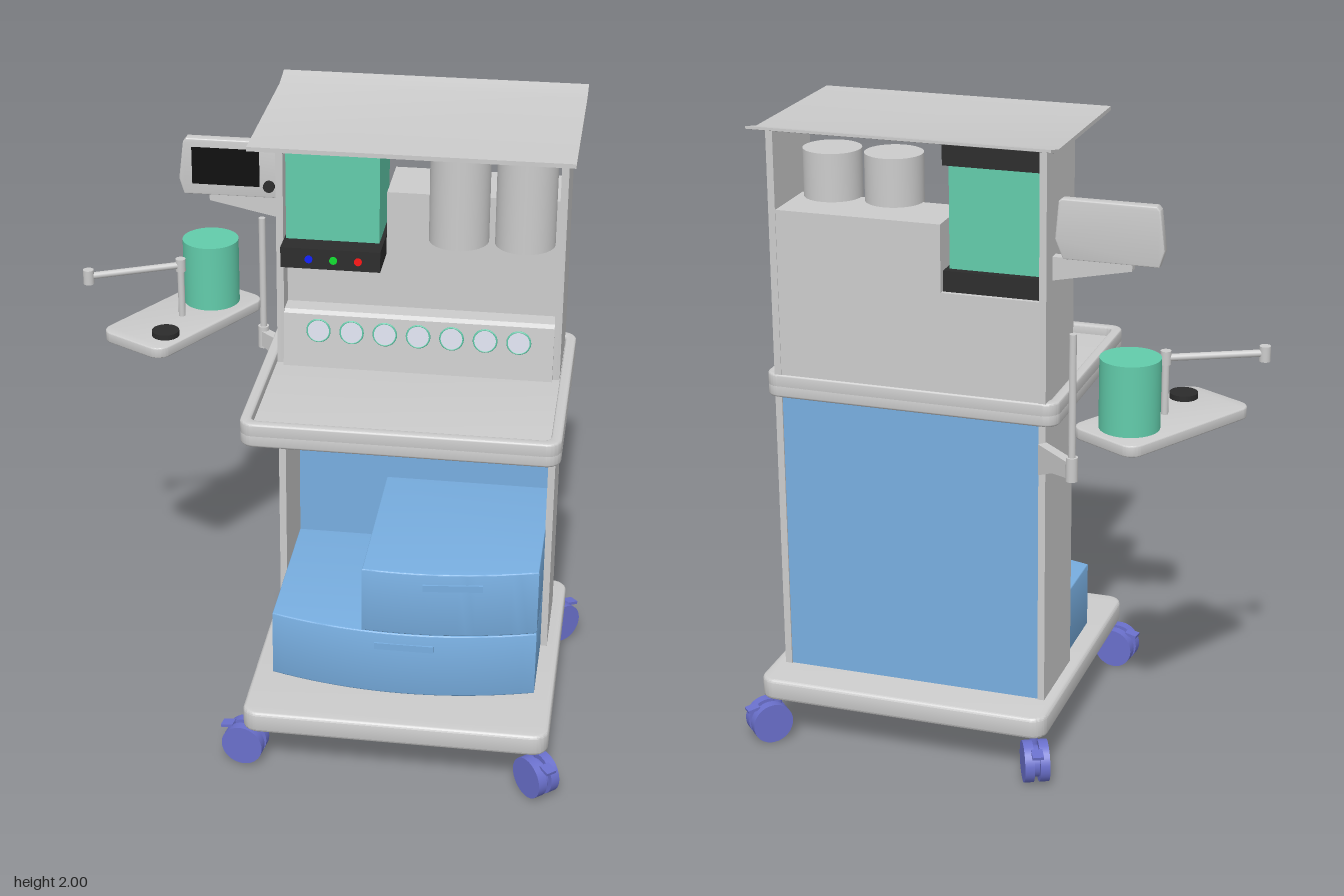
import * as THREE from 'three';
import { toCreasedNormals } from 'three/addons/utils/BufferGeometryUtils.js';

const mat = (color) => new THREE.MeshStandardMaterial({ color, side: THREE.DoubleSide });

export function createModel() {
  const root = new THREE.Group();
  root.name = 'medicalTrolley';
  const body = new THREE.Group(); // the cabinet stands slightly turned
  body.name = 'cabinet';
  body.rotation.y = 0.14;
  root.add(body);

  const grey = mat(0xcccccc), blue = mat(0x78aee0), green = mat(0x62ccab);
  const navy = mat(0x6a70cc), black = mat(0x2c2c2c), dialWhite = mat(0xdde0ee);
  const screenBlack = mat(0x0c0c0c);

  const add = (parent, name, geo, m, x = 0, y = 0, z = 0) => {
    const mesh = new THREE.Mesh(geo, m);
    mesh.name = name;
    mesh.position.set(x, y, z);
    parent.add(mesh);
    return mesh;
  };
  // box from min and max corners
  const box = (parent, name, m, x0, x1, y0, y1, z0, z1) =>
    add(parent, name, new THREE.BoxGeometry(x1 - x0, y1 - y0, z1 - z0), m, (x0 + x1) / 2, (y0 + y1) / 2, (z0 + z1) / 2);
  const cyl = (parent, name, m, r, y0, y1, x, z, n = 40) =>
    add(parent, name, new THREE.CylinderGeometry(r, r, y1 - y0, n), m, x, (y0 + y1) / 2, z);
  const poly = (pts) => new THREE.Shape(pts.map((p) => new THREE.Vector2(...p)));
  const extrude = (shape, depth, bevel = 0) => {
    const g = new THREE.ExtrudeGeometry(shape, {
      depth: depth - 2 * bevel, bevelEnabled: bevel > 0, bevelSize: bevel,
      bevelOffset: -bevel, bevelThickness: bevel, bevelSegments: 3, curveSegments: 10,
    });
    g.translate(0, 0, bevel);
    return toCreasedNormals(g, 0.6);
  };
  // horizontal slab whose outline is given in x and z
  const slab = (parent, name, m, shape, y0, y1, bevel = 0) =>
    add(parent, name, extrude(shape, y1 - y0, bevel).rotateX(Math.PI / 2), m, 0, y1, 0);
  const roundRect = (x0, x1, z0, z1, r, Type = THREE.Shape) => {
    const s = new Type();
    s.absarc(x1 - r, z1 - r, r, 0, Math.PI / 2);
    s.absarc(x0 + r, z1 - r, r, Math.PI / 2, Math.PI);
    s.absarc(x0 + r, z0 + r, r, Math.PI, 1.5 * Math.PI);
    s.absarc(x1 - r, z0 + r, r, 1.5 * Math.PI, 2 * Math.PI);
    s.closePath();
    return s;
  };
  // rod between two points
  const rod = (parent, name, m, a, b, r) => {
    const d = b.clone().sub(a);
    const mesh = add(parent, name, new THREE.CylinderGeometry(r, r, d.length(), 16), m);
    mesh.position.copy(a).add(b).multiplyScalar(0.5);
    mesh.quaternion.setFromUnitVectors(new THREE.Vector3(0, 1, 0), d.normalize());
  };

  // base plate, side panels and lower back
  slab(body, 'basePlate', grey, roundRect(-0.226, 0.724, -0.41, 0.53, 0.05), 0.145, 0.215, 0.01);
  box(body, 'rightPanel', grey, -0.188, -0.166, 0.215, 1.975, -0.277, 0.011);
  box(body, 'leftPanel', grey, 0.663, 0.685, 0.215, 1.975, -0.277, 0.011);
  box(body, 'lowerBack', blue, -0.166, 0.663, 0.215, 1.13, -0.272, -0.255);

  // roof with raised rear lip
  const roof = poly([[-0.29, 1.97], [-0.29, 1.983], [0.27, 1.983], [0.35, 2.0], [0.35, 1.992], [0.27, 1.97]]);
  add(body, 'roof', extrude(roof, 0.937).rotateY(Math.PI / 2), grey, -0.221, 0, 0);

  // work surface: floor and raised rim
  slab(body, 'workSurface', grey, roundRect(-0.222, 0.72, -0.28, 0.5, 0.045), 1.13, 1.175, 0.008);
  const rim = roundRect(-0.222, 0.72, -0.28, 0.5, 0.045);
  rim.holes.push(roundRect(-0.19, 0.688, -0.25, 0.468, 0.025, THREE.Path));
  slab(body, 'workSurfaceRim', grey, rim, 1.16, 1.205, 0.006);

  // upper housing, notched for the ventilator unit
  const housing = poly([[-0.166, 1.17], [0.663, 1.17], [0.663, 1.73], [0.14, 1.73], [0.14, 1.52], [-0.166, 1.52]]);
  add(body, 'upperHousing', extrude(housing, 0.215), grey, 0, 0, -0.275);

  // sloping console with a row of dials
  const consoleShape = poly([[-0.03, 1.17], [-0.012, 1.345], [0, 1.355], [0.07, 1.355], [0.07, 1.17]]);
  add(body, 'dialConsole', extrude(consoleShape, 0.829).rotateY(Math.PI / 2), grey, -0.166, 0, 0);
  for (let i = 0; i < 7; i++) {
    const dial = new THREE.Group();
    dial.name = 'dial';
    dial.position.set(-0.058 + i * 0.1025, 1.295, 0.018);
    dial.rotation.x = -0.1;
    body.add(dial);
    add(dial, 'dialFace', new THREE.CylinderGeometry(0.034, 0.034, 0.008, 28).rotateX(Math.PI / 2), dialWhite);
    add(dial, 'dialRim', new THREE.TorusGeometry(0.035, 0.003, 6, 28), green, 0, 0, 0.002);
  }

  // ventilator unit with indicator lights
  box(body, 'ventilatorBase', black, -0.166, 0.137, 1.52, 1.585, -0.26, 0.066);
  box(body, 'ventilatorTop', black, -0.166, 0.137, 1.905, 1.97, -0.26, 0.066);
  box(body, 'ventilatorBody', green, -0.16, 0.125, 1.585, 1.905, -0.235, -0.005);
  [0x1020ff, 0x10e030, 0xff1515].forEach((c, i) =>
    add(body, 'indicatorLight', new THREE.CylinderGeometry(0.012, 0.012, 0.006, 20).rotateX(Math.PI / 2), mat(c), -0.08 + i * 0.075, 1.551, 0.067));

  // vaporiser canisters
  for (const x of [0.36, 0.56]) cyl(body, 'canister', grey, 0.091, 1.59, 1.88, x, -0.06, 48);

  // bow-fronted drawers
  const bow = (x) => 0.355 - 0.065 * ((x - 0.249) / 0.417) ** 2;
  const drawer = (name, x0, x1, y0, y1, handleX) => {
    const pts = [[x1, -0.25], [x0, -0.25]];
    for (let i = 0; i <= 20; i++) {
      const x = x0 + ((x1 - x0) * i) / 20;
      pts.push([x, bow(x)]);
    }
    slab(body, name, blue, poly(pts), y0, y1, 0.004);
    const h = add(body, name + 'Handle', new THREE.BoxGeometry(0.185, 0.022, 0.008), blue, handleX, y1 - 0.047, bow(handleX));
    h.rotation.y = 2 * 0.065 * (handleX - 0.249) / 0.417 ** 2;
  };
  drawer('lowerDrawer', -0.166, 0.664, 0.215, 0.434, 0.258);
  drawer('upperDrawer', 0.125, 0.664, 0.436, 0.655, 0.405);

  // monitor on its bracket
  const monitor = poly([[-0.525, 1.69], [-0.51, 1.81], [-0.5, 1.822], [-0.215, 1.822], [-0.205, 1.815],
    [-0.195, 1.7], [-0.22, 1.64], [-0.51, 1.64]]);
  add(body, 'monitor', extrude(monitor, 0.036, 0.004), grey, 0, 0, -0.218);
  box(body, 'monitorScreen', screenBlack, -0.483, -0.272, 1.676, 1.795, -0.185, -0.179);
  add(body, 'monitorKnob', new THREE.CylinderGeometry(0.018, 0.018, 0.014, 24).rotateX(Math.PI / 2), black, -0.242, 1.68, -0.177);
  const bracket = poly([[-0.43, 1.645], [-0.43, 1.622], [-0.187, 1.572], [-0.187, 1.645]]);
  add(body, 'monitorBracket', extrude(bracket, 0.034), grey, 0, 0, -0.217);

  // side shelf: wall bracket, post and rotated plate
  const arm = poly([[0, 1.035], [0.09, 1.02], [0.17, 0.985], [0.17, 1.085], [0, 1.085]]);
  add(root, 'shelfBracket', extrude(arm, 0.03).translate(0, 0, -0.015), grey, -0.362, 0, -0.36).rotation.y = -0.6;
  cyl(root, 'shelfPost', grey, 0.011, 1.03, 1.48, -0.362, -0.36, 16);
  cyl(root, 'shelfPostFoot', grey, 0.018, 1.025, 1.1, -0.362, -0.36, 20);
  const shelf = slab(root, 'sideShelf', grey, roundRect(-0.127, 0.127, -0.258, 0.258, 0.045), 1.165, 1.2, 0.004);
  shelf.position.x = -0.567;
  shelf.position.z = -0.17;
  shelf.rotation.y = -0.377;
  cyl(root, 'absorberCanister', green, 0.09, 1.2, 1.415, -0.517, -0.3, 48);
  cyl(root, 'shelfDisc', black, 0.043, 1.2, 1.217, -0.567, 0);
  cyl(root, 'armPost', grey, 0.011, 1.2, 1.395, -0.568, -0.155, 16);
  cyl(root, 'armJoint', grey, 0.016, 1.355, 1.397, -0.568, -0.155, 20);
  rod(root, 'swingArm', grey, new THREE.Vector3(-0.568, 1.375, -0.155), new THREE.Vector3(-0.815, 1.375, 0.01), 0.011);
  cyl(root, 'armTip', grey, 0.017, 1.35, 1.397, -0.815, 0.01, 20);

  // twin-wheel castors, each swivelled to its own heading
  const castors = [[-0.16, 0.487, Math.PI], [0.757, 0.41, -0.7], [-0.25, -0.367, 2.15], [0.635, -0.49, 0.9]];
  for (const [x, z, heading] of castors) {
    const c = new THREE.Group();
    c.name = 'castor';
    c.position.set(x, 0.068, z);
    c.rotation.y = heading;
    root.add(c);
    for (const s of [-1, 1])
      add(c, 'wheel', new THREE.CylinderGeometry(0.066, 0.066, 0.03, 32).rotateX(Math.PI / 2), navy, 0, 0, s * 0.024);
    add(c, 'hub', new THREE.CylinderGeometry(0.05, 0.05, 0.03, 24).rotateX(Math.PI / 2), navy);
    add(c, 'stem', new THREE.CylinderGeometry(0.014, 0.014, 0.07, 16), navy, -0.03, 0.05, 0);
    add(c, 'brakePedal', new THREE.BoxGeometry(0.04, 0.01, 0.035), navy, 0.055, 0.05, 0).rotation.z = -0.2;
  }
  return root;
}
